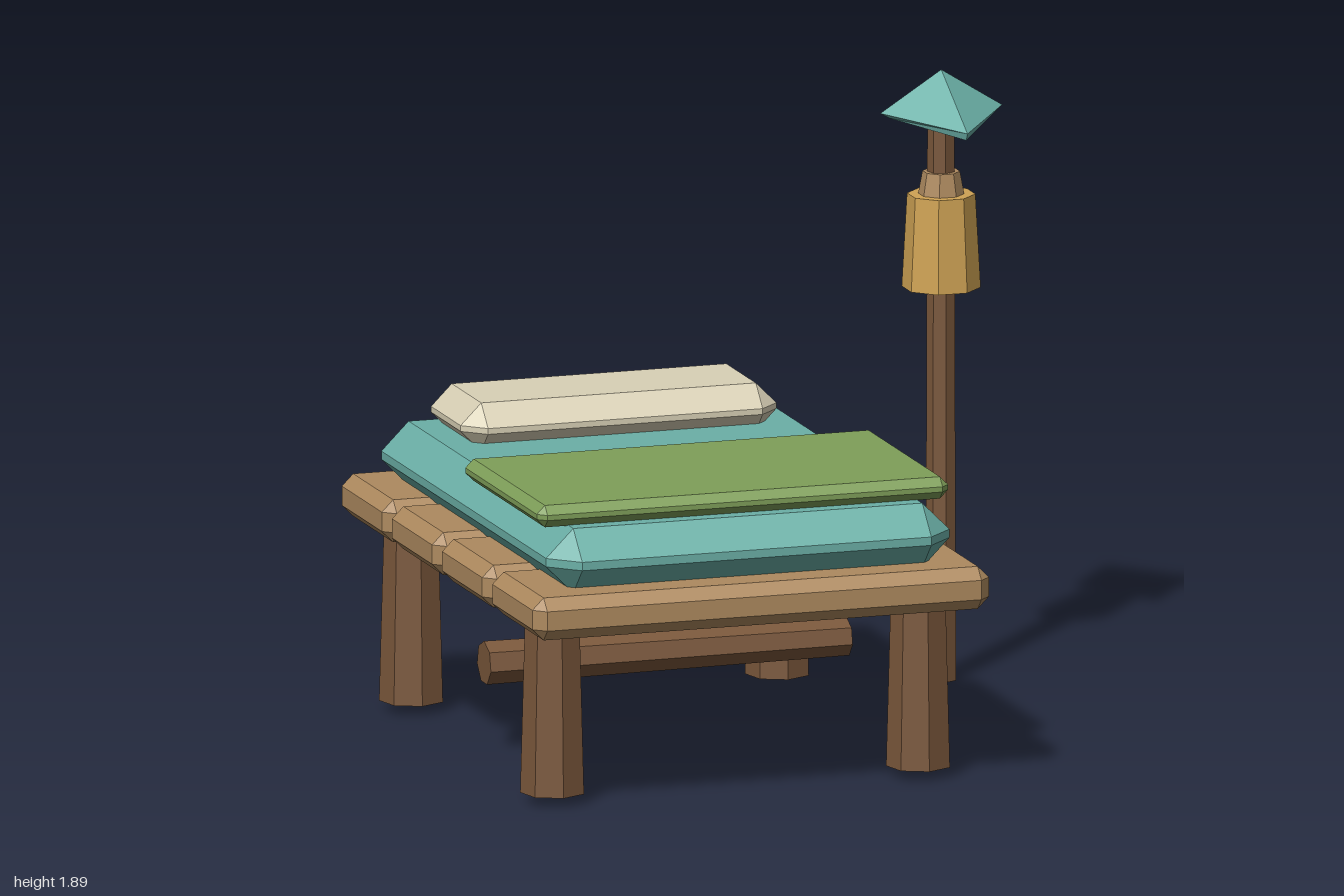
import * as THREE from 'three';
import { ConvexGeometry } from 'three/addons/geometries/ConvexGeometry.js';

const mat = (name, color) => {
  const m = new THREE.MeshStandardMaterial({ color, flatShading: true });
  m.name = name;
  return m;
};

// Box with every edge cut at 45 degrees
function chamferBox(w, h, d, b) {
  const half = [w / 2, h / 2, d / 2];
  const pts = [];
  for (const sx of [-1, 1]) for (const sy of [-1, 1]) for (const sz of [-1, 1]) {
    for (let axis = 0; axis < 3; axis++) {
      const [x, y, z] = half.map((v, i) => (i === axis ? v : v - b));
      pts.push(new THREE.Vector3(sx * x, sy * y, sz * z));
    }
  }
  return new ConvexGeometry(pts);
}

// Folded four-cornered roof: apex, outer rim, inset lower rim, raised underside
function roofGeometry() {
  const ring = (rx, yx, rz, yz) => [[rx, yx, 0], [0, yz, rz], [-rx, yx, 0], [0, yz, -rz]];
  const top = ring(0.195, 1.772, 0.252, 1.748);
  const low = ring(0.165, 1.755, 0.24, 1.725);
  const apex = [0, 1.895, 0], under = [0, 1.78, 0];
  const p = [];
  for (let i = 0; i < 4; i++) {
    const j = (i + 1) % 4;
    p.push(apex, top[j], top[i]);
    p.push(top[i], top[j], low[j], top[i], low[j], low[i]);
    p.push(under, low[i], low[j]);
  }
  const g = new THREE.BufferGeometry();
  g.setAttribute('position', new THREE.Float32BufferAttribute(p.flat(), 3));
  g.computeVertexNormals();
  return g;
}

export function createModel() {
  const model = new THREE.Group();
  const darkWood = mat('dark wood', 0x7a573b);
  const plankWood = mat('plank wood', 0xae8a5f);
  const teal = mat('teal cloth', 0x6bb0a7);
  const green = mat('green cloth', 0x7f9f59);
  const cream = mat('cream cloth', 0xd9d1b6);
  const amber = mat('amber glass', 0xcfa354);

  const add = (name, geo, material, x, y, z, parent = model) => {
    const m = new THREE.Mesh(geo, material);
    m.name = name;
    m.position.set(x, y, z);
    parent.add(m);
    return m;
  };

  // Bed, centred on x = -0.27
  const bed = new THREE.Group();
  bed.name = 'bed';
  bed.position.x = -0.27;
  model.add(bed);

  const plank = chamferBox(1.46, 0.132, 0.455, 0.036);
  for (let i = 0; i < 4; i++) add('plank', plank, plankWood, 0, 0.624, (i - 1.5) * 0.48, bed);

  const leg = new THREE.CylinderGeometry(0.085, 0.1, 0.56, 7);
  for (const sx of [-1, 1]) for (const sz of [-1, 1]) add('leg', leg, darkWood, sx * 0.585, 0.31, sz * 0.675, bed);

  // Crossbar, slightly thinner towards +x
  const bar = new THREE.CylinderGeometry(0.068, 0.059, 1.16, 7);
  bar.rotateY(Math.PI / 2).rotateZ(Math.PI / 2);
  add('crossbar', bar, darkWood, 0, 0.287, 0, bed);

  add('mattress', chamferBox(1.29, 0.2, 1.75, 0.087), teal, 0, 0.77, 0, bed);
  add('pillow', chamferBox(1.01, 0.15, 0.415, 0.066), cream, 0, 0.915, -0.59, bed);
  add('blanket', chamferBox(1.315, 0.068, 0.735, 0.026), green, 0, 0.902, 0.395, bed);

  // Lantern post
  const post = new THREE.Group();
  post.name = 'lanternPost';
  post.position.set(0.8, 0, -0.563);
  model.add(post);
  add('pole', new THREE.CylinderGeometry(0.042, 0.048, 1.79, 7), darkWood, 0, 0.895, 0, post);
  const turn = Math.PI / 8;
  add('lantern', new THREE.CylinderGeometry(0.104, 0.12, 0.29, 8), amber, 0, 1.365, 0, post).rotation.y = turn;
  add('lanternCap', new THREE.CylinderGeometry(0.057, 0.07, 0.07, 8), plankWood, 0, 1.545, 0, post).rotation.y = turn;
  add('roof', roofGeometry(), teal, 0, 0, 0, post);

  return model;
}
